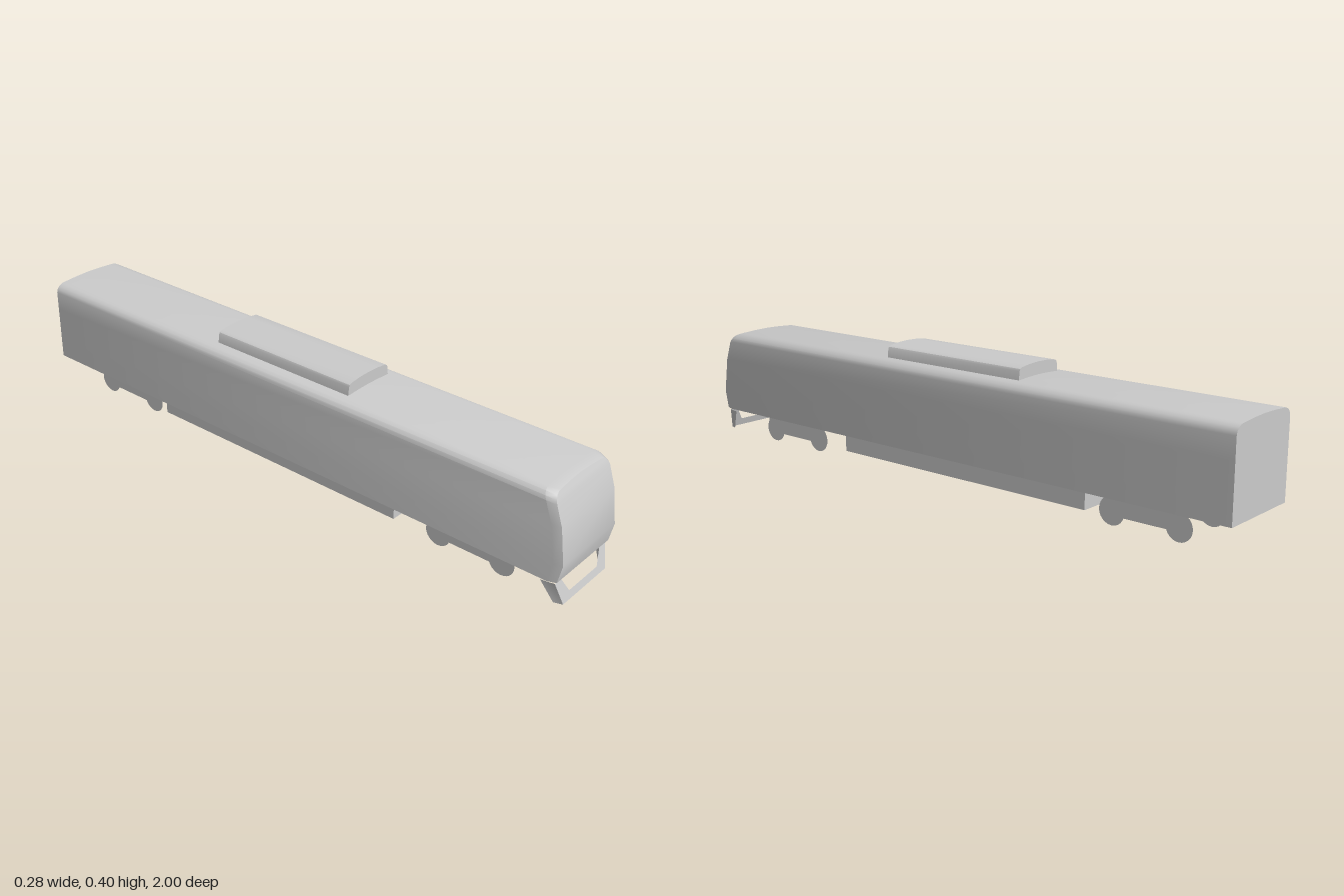
import * as THREE from 'three';
import { toCreasedNormals } from 'three/addons/utils/BufferGeometryUtils.js';

const material = new THREE.MeshStandardMaterial({ color: 0xcccccc, side: THREE.DoubleSide });

function add(parent, name, geometry) {
  const mesh = new THREE.Mesh(geometry, material);
  mesh.name = name;
  parent.add(mesh);
  return mesh;
}

function indexed(points, index) {
  const g = new THREE.BufferGeometry();
  g.setAttribute('position', new THREE.Float32BufferAttribute(points.flat(), 3));
  g.setIndex(index);
  return toCreasedNormals(g, 0.5);
}

// Completes a half profile [x, y] (bottom to centre top) with its mirror image
function mirrorProfile(half) {
  return [...half, ...half.slice(0, -1).reverse().map(([x, y]) => [-x, y])];
}

// Shell through rings ordered back to front, open below, closed at both ends
function loft(rings) {
  const n = rings[0].length;
  const index = [];
  for (let j = 0; j < rings.length - 1; j++) {
    for (let i = 0; i < n - 1; i++) {
      const a = j * n + i;
      index.push(a, a + 1, a + n, a + 1, a + n + 1, a + n);
    }
  }
  // End caps: horizontal rows between each point and its mirror
  const front = (rings.length - 1) * n;
  const mid = (n - 1) / 2;
  for (let i = 0; i < mid; i++) {
    const [a, b, c, d] = [i, i + 1, n - 2 - i, n - 1 - i];
    index.push(front + a, front + b, front + d, a, d, b);
    if (b !== c) index.push(front + b, front + c, front + d, b, d, c);
  }
  return indexed(rings.flat(), index);
}

// Nose profile: z of the front face at height y
const NOSE = [[0.095, 0.987], [0.155, 1], [0.27, 0.983], [0.335, 0.96], [0.366, 0.945]];
function noseZ(y) {
  let k = 0;
  while (k < NOSE.length - 2 && y > NOSE[k + 1][0]) k++;
  const [[y0, z0], [y1, z1]] = [NOSE[k], NOSE[k + 1]];
  return z0 + (z1 - z0) * (y - y0) / (y1 - y0);
}

function createBody() {
  const profile = mirrorProfile([
    [0.14, 0.095], [0.14, 0.155], [0.14, 0.27], [0.14, 0.333], [0.137, 0.344],
    [0.129, 0.353], [0.118, 0.359], [0.105, 0.361], [0.05, 0.3645], [0, 0.366],
  ]);
  const back = profile.map(([x, y]) => [x, y, -1]);
  const shoulder = profile.map(([x, y]) => [x, y, noseZ(y) - 0.025]);
  const rim = profile.map(([x, y]) => {
    const ry = 0.095 + (y - 0.095) * 0.97;
    return [x * 0.93, ry, noseZ(ry)];
  });
  return loft([back, shoulder, rim]);
}

function createRoofPod() {
  const profile = mirrorProfile([
    [0.091, 0.358], [0.087, 0.388], [0.084, 0.394], [0.077, 0.398], [0.04, 0.4025], [0, 0.404],
  ]);
  return loft([-0.275, 0.245].map((z) => profile.map(([x, y]) => [x, y, z])));
}

// Side plates with thin wheel discs just inside them
function createBogie(name, plateFront, plateBack, axles) {
  const bogie = new THREE.Group();
  bogie.name = name;
  for (const side of [1, -1]) {
    const plate = add(bogie, 'bogieSidePlate', new THREE.PlaneGeometry(plateFront - plateBack, 0.066));
    plate.rotation.y = side * Math.PI / 2;
    plate.position.set(side * 0.09, 0.063, (plateFront + plateBack) / 2);
    for (const z of axles) {
      const wheel = add(bogie, 'wheel', new THREE.CircleGeometry(0.042, 24));
      wheel.rotation.y = side * Math.PI / 2;
      wheel.position.set(side * 0.085, 0.042, z);
    }
  }
  return bogie;
}

// Raked front guard: a U-shaped plate with swept side wings
function createGuard() {
  const guard = new THREE.Group();
  guard.name = 'frontGuard';
  const shape = new THREE.Shape([
    [-0.127, 0.087], [-0.107, 0.019], [0.107, 0.019], [0.127, 0.087],
    [0.097, 0.087], [0.07, 0.042], [-0.07, 0.042], [-0.097, 0.087],
  ].map(([x, y]) => new THREE.Vector2(x, y)));
  const plate = new THREE.ShapeGeometry(shape);
  const p = plate.attributes.position;
  for (let i = 0; i < p.count; i++) p.setZ(i, 1 - (p.getY(i) - 0.019) * 0.29);
  plate.computeVertexNormals();
  add(guard, 'guardPlate', plate);
  for (const s of [1, -1]) {
    const corners = [
      [s * 0.107, 0.019, 1], [s * 0.116, 0.019, 0.975],
      [s * 0.135, 0.087, 0.94], [s * 0.127, 0.087, 0.98],
    ];
    add(guard, 'guardWing', indexed(corners, s > 0 ? [0, 1, 2, 0, 2, 3] : [0, 2, 1, 0, 3, 2]));
  }
  return guard;
}

export function createModel() {
  const model = new THREE.Group();
  model.name = 'railcar';
  add(model, 'body', createBody());
  add(model, 'roofPod', createRoofPod());

  // Equipment skirt: four walls under the middle of the body
  const skirt = new THREE.CylinderGeometry(Math.SQRT1_2, Math.SQRT1_2, 1, 4, 1, true);
  skirt.rotateY(Math.PI / 4).scale(0.2, 0.066, 0.95).translate(0, 0.063, -0.045);
  add(model, 'underfloorSkirt', toCreasedNormals(skirt, 0.5));

  model.add(createBogie('frontBogie', 0.818, 0.55, [0.79, 0.577]));
  model.add(createBogie('rearBogie', -0.575, -0.845, [-0.6, -0.815]));
  model.add(createGuard());
  return model;
}
